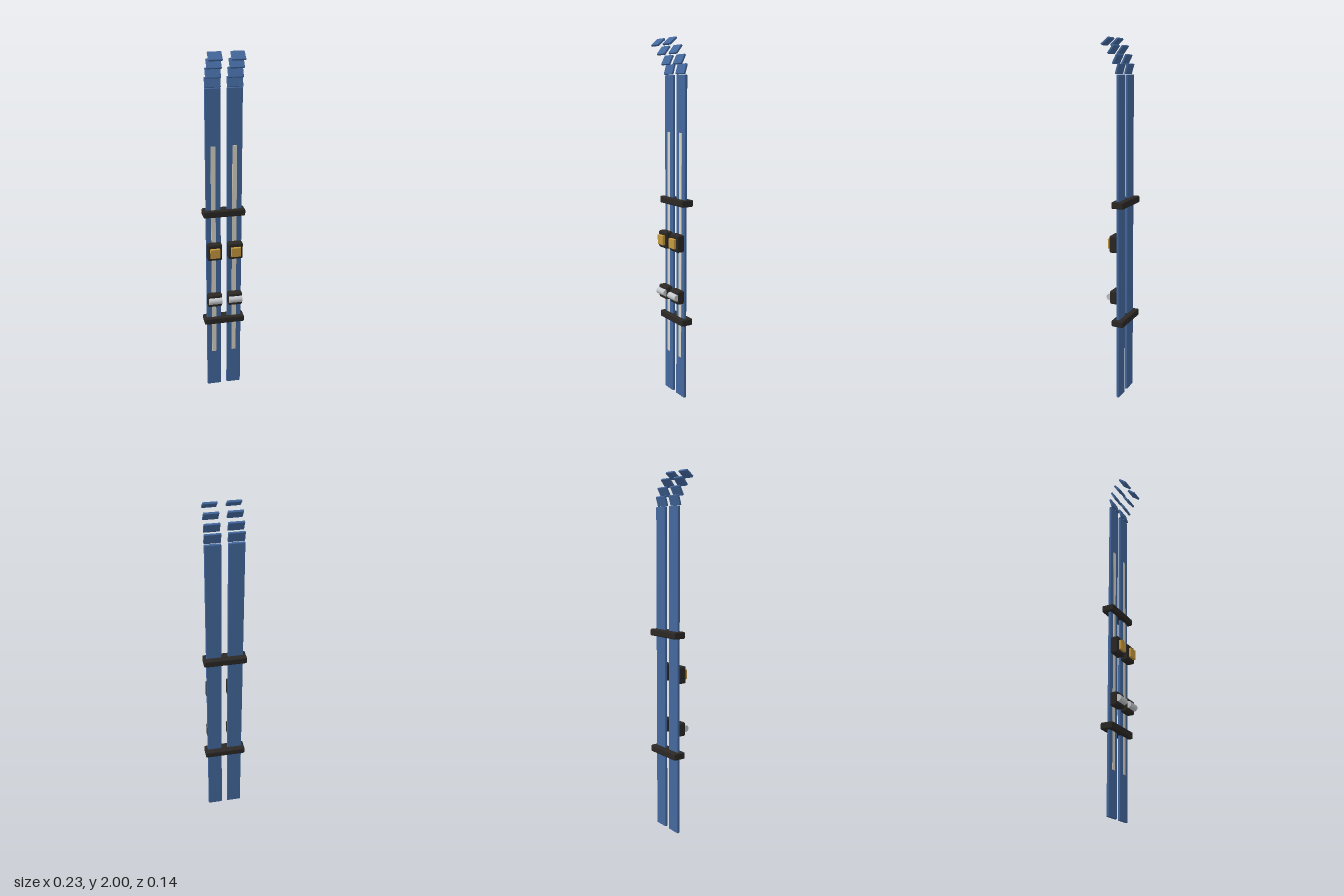
import * as THREE from 'three';
import { RoundedBoxGeometry } from 'three/addons/geometries/RoundedBoxGeometry.js';

const paint = (color) => new THREE.MeshStandardMaterial({ color });
const blue = paint(0x44699f);
const cream = paint(0xd8d4c8);
const black = paint(0x2b2825);
const gold = paint(0xc79a3e);
const silver = paint(0xc4c8cc);

// Box with softened edges, centred at (x, y, z)
function block(name, material, [w, h, d], [x, y, z], radius) {
  const mesh = new THREE.Mesh(new RoundedBoxGeometry(w, h, d, 2, radius), material);
  mesh.name = name;
  mesh.position.set(x, y, z);
  return mesh;
}

function createSki(name) {
  const ski = new THREE.Group();
  ski.name = name;

  // Long plank and its inlaid centre stripe
  ski.add(block('plank', blue, [0.084, 1.81, 0.016], [0, 0.905, -0.032], 0.004));
  ski.add(block('stripe', cream, [0.026, 1.27, 0.004], [0, 0.87, -0.0245], 0.0005));

  // Curved tip made of stepped, tilted plates: width, y, z, tilt in degrees
  const plates = [
    [0.085, 1.839, -0.029, 16],
    [0.081, 1.888, -0.015, 27],
    [0.077, 1.937, 0.009, 38],
    [0.072, 1.978, 0.043, 50],
  ];
  for (const [width, y, z, tilt] of plates) {
    const plate = block('tipPlate', blue, [width, 0.055, 0.012], [0, y, z], 0.003);
    plate.rotation.x = -THREE.MathUtils.degToRad(tilt);
    ski.add(plate);
  }

  // Toe binding with its coloured pad
  ski.add(block('toeBinding', black, [0.084, 0.097, 0.046], [0, 0.905, -0.003], 0.01));
  ski.add(block('toePad', gold, [0.055, 0.055, 0.024], [0, 0.904, 0.023], 0.003));

  // Heel binding with its cross roller
  ski.add(block('heelBinding', black, [0.084, 0.077, 0.044], [0, 0.599, -0.004], 0.01));
  const roller = new THREE.Mesh(new THREE.CylinderGeometry(0.019, 0.019, 0.076, 20), silver);
  roller.name = 'heelRoller';
  roller.rotation.z = Math.PI / 2;
  roller.position.set(0, 0.6, 0.019);
  ski.add(roller);

  return ski;
}

export function createModel() {
  const model = new THREE.Group();
  model.name = 'skiPair';

  for (const side of [-1, 1]) {
    const ski = createSki(side > 0 ? 'leftSki' : 'rightSki');
    ski.position.x = side * 0.059;
    model.add(ski);
  }

  // Straps holding the pair together
  for (const y of [0.454, 1.126]) {
    model.add(block('strap', black, [0.234, 0.038, 0.071], [0, y, -0.0355], 0.007));
  }
  return model;
}
